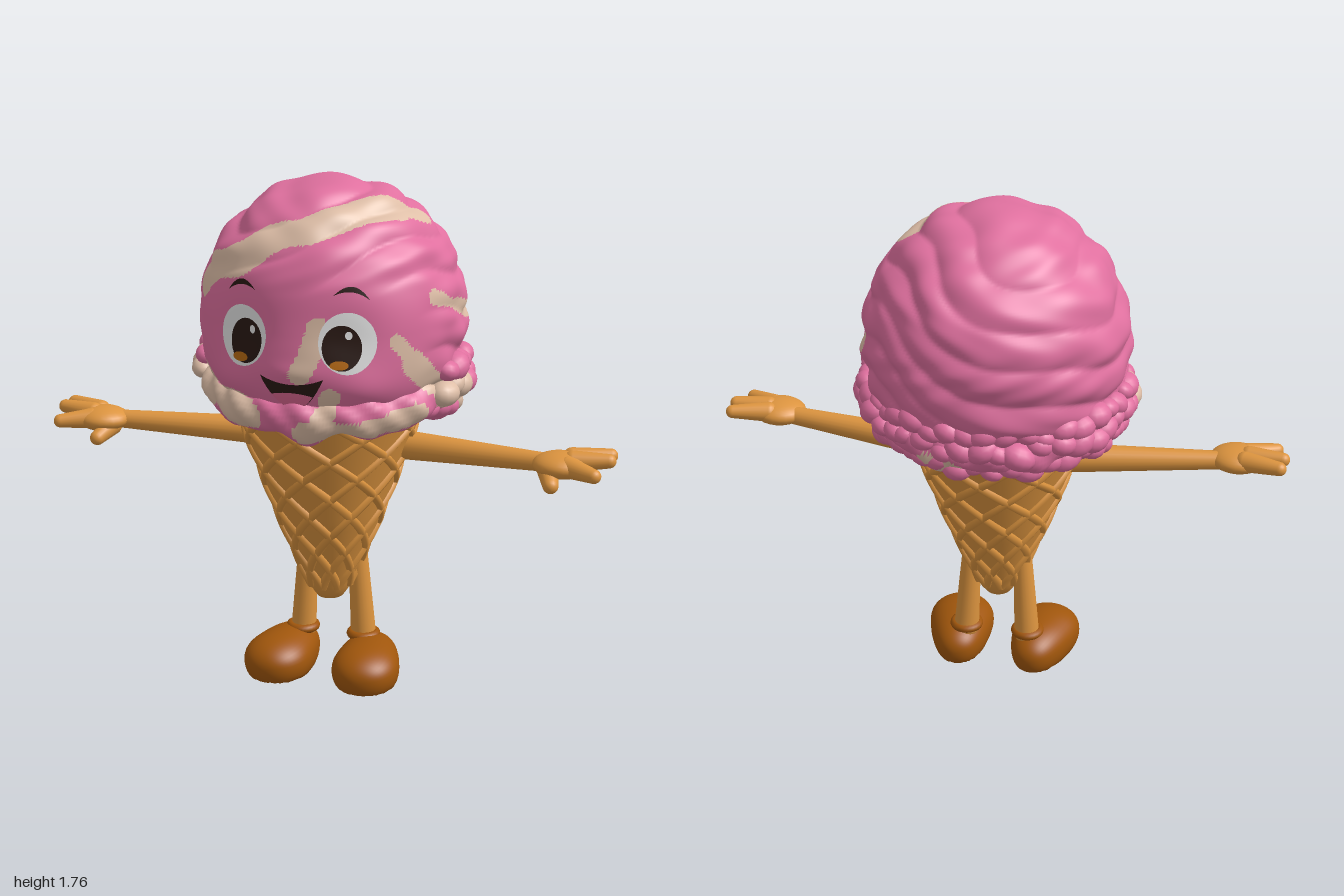
import * as THREE from 'three';
import { mergeVertices } from 'three/addons/utils/BufferGeometryUtils.js';

const { sin, cos, abs, max, min, PI } = Math;
const V = (x, y, z) => new THREE.Vector3(x, y, z);
const smooth = (x, a, b) => THREE.MathUtils.smoothstep(x, a, b);

function material(name, color) {
  const m = new THREE.MeshStandardMaterial({ color });
  m.name = name;
  return m;
}

// Smooth surface from a rule (u, v) -> point, outward where u runs right and v up
function surface(nu, nv, rule) {
  const g = new THREE.PlaneGeometry(1, 1, nu, nv);
  const p = g.attributes.position;
  for (let i = 0; i < p.count; i++) {
    const q = rule(p.getX(i) + 0.5, p.getY(i) + 0.5);
    p.setXYZ(i, q.x, q.y, q.z);
  }
  g.deleteAttribute('uv');
  g.deleteAttribute('normal');
  const m = mergeVertices(g, 1e-5);
  m.computeVertexNormals();
  return m;
}

// Cream swirls: half width, then the points of the stripe
const swirls = [
  [0.06, [-0.37, 1.44, 0.22], [-0.2, 1.545, 0.33], [0, 1.63, 0.3], [0.12, 1.68, 0.21], [0.22, 1.67, 0.09]],
  [0.045, [0.22, 1.67, 0.09], [0.29, 1.645, -0.02]],
  [0.033, [0.39, 1.41, 0.16], [0.43, 1.35, 0], [0.41, 1.3, -0.16]],
  [0.028, [0.31, 1.29, 0.3], [0.35, 1.22, 0.25]],
  [0.045, [0.35, 1.21, 0.25], [0.39, 1.13, 0.17], [0.43, 1.08, 0.06]],
  [0.033, [0.085, 1.34, 0.4], [0.06, 1.24, 0.43], [0.03, 1.19, 0.44]],
  [0.038, [0.13, 1.11, 0.41], [0.1, 1.03, 0.42]],
  [0.055, [-0.45, 1.1, 0.1], [-0.33, 1.06, 0.3], [-0.16, 1.02, 0.41]],
  [0.046, [0.05, 0.98, 0.43], [0.2, 0.99, 0.38], [0.36, 1.03, 0.24]],
  [0.045, [0.43, 1.06, 0.12], [0.45, 1.05, 0]],
  [0.036, [0.43, 1.0, -0.06], [0.38, 0.99, -0.26]],
  [0.04, [0.16, 1, -0.4], [0.04, 0.98, -0.42]],
].map(([w, ...pts]) => ({
  w,
  lines: pts.slice(1).map((p, i) => new THREE.Line3(V(...pts[i]), V(...p))),
}));
const near = V();
const isCream = (p) => swirls.some(({ w, lines }) => lines.some((l) =>
  l.closestPointToPoint(p, true, near).distanceTo(p) < w * (1 + 0.18 * sin(23 * p.x + 17 * p.z))));

// Sort triangles into a pink group and a cream group
function paint(g) {
  const idx = g.index.array, p = g.attributes.position, sets = [[], []], c = V(), t = V();
  for (let i = 0; i < idx.length; i += 3) {
    c.set(0, 0, 0);
    for (let k = 0; k < 3; k++) c.add(t.fromBufferAttribute(p, idx[i + k]));
    sets[isCream(c.divideScalar(3)) ? 1 : 0].push(idx[i], idx[i + 1], idx[i + 2]);
  }
  g.setIndex(sets.flat());
  g.addGroup(0, sets[0].length, 0);
  g.addGroup(sets[0].length, sets[1].length, 1);
  return g;
}

// Scoop: round above, fuller below, folded except on the smooth face
const CY = 1.312, R = 0.44, LOW = 0.37;
function radiusAt(y) {
  const s = y > CY ? (y - CY) / R : (CY - y) / LOW;
  const n = y > CY ? 2 : 3;
  return R * max(0, 1 - s ** n) ** (1 / n);
}
function scoopPoint(th, y, off = 0) {
  const r = radiusAt(y), b = V(r * sin(th), y - CY, r * cos(th));
  const { x, z } = b, d = b.y;
  const rough = 1 - smooth(z, 0.08, 0.26) * (1 - smooth(d, 0.12, 0.24));
  const fold = abs(sin(24 * (d - 0.35 * x + 0.035 * sin(9 * x + 2) + 0.03 * sin(13 * z + 6 * x)))) - 0.55;
  const fine = sin(31 * x + 3 * sin(17 * d)) * sin(35 * d + 2 * z) + sin(38 * z + 9 * x) * sin(29 * d);
  const bulge = (a, cy, w, h) => Math.exp(-(((x - a) / w) ** 2) - ((d + CY - cy) / h) ** 2) * (z > 0 ? 1 : 0);
  // cheeks and lip stand out, eye sockets and brow sink in
  let face = 0.008 * bulge(0, 1.19, 0.08, 0.03) - 0.018 * bulge(0, 1.36, 0.22, 0.12);
  for (const s of [-1, 1]) face += 0.014 * bulge(s * 0.22, 1.14, 0.08, 0.06) - 0.018 * bulge(s * 0.18, 1.31, 0.1, 0.1);
  const k = 1 + (rough * (0.016 * fold + 0.004 * fine) + face + off) / R;
  b.multiplyScalar(k);
  return V(b.x * 1.015, b.y + CY, b.z);
}
const onFace = (x, y, off) => scoopPoint(Math.asin(x / radiusAt(y)), y, off);

// Cone profile: radius, height
const profile = [[0, 0.26], [0.04, 0.27], [0.068, 0.31], [0.105, 0.4], [0.145, 0.5], [0.185, 0.6], [0.255, 0.8], [0.29, 0.9], [0.325, 1]];
function conePoint(th, y, off = 0) {
  const i = max(1, profile.findIndex((p) => p[1] >= y - 1e-9));
  const [a, b] = [profile[i - 1], profile[i]];
  const r = a[0] + (b[0] - a[0]) * (y - a[1]) / (b[1] - a[1]) + off;
  return V(r * sin(th), y, 0.03 + 1.1 * r * cos(th));
}

// Tapered limb with round ends
function limb(a, b, r1, r2) {
  const len = a.distanceTo(b), pts = [];
  for (let i = 0; i <= 6; i++) pts.push(new THREE.Vector2(r1 * sin(i * PI / 12), -r1 * cos(i * PI / 12)));
  for (let i = 0; i <= 6; i++) pts.push(new THREE.Vector2(r2 * cos(i * PI / 12), len + r2 * sin(i * PI / 12)));
  const g = new THREE.LatheGeometry(pts, 20);
  g.applyQuaternion(new THREE.Quaternion().setFromUnitVectors(V(0, 1, 0), b.clone().sub(a).normalize()));
  return g.translate(a.x, a.y, a.z);
}

export function createModel() {
  const model = new THREE.Group();
  const pink = material('strawberry pink', 0xe0709f), cream = material('cream', 0xdfbfa8);
  const waffle = material('waffle', 0xdc943f), brown = material('shoe brown', 0xa0560c);
  const white = material('eye white', 0xf4f4f4), dark = material('dark brown', 0x2a1914);
  const amber = material('amber', 0xb86a12), rose = material('tongue pink', 0xe06a94);
  const add = (name, g, m, parent = model) => {
    const mesh = new THREE.Mesh(g, m);
    mesh.name = name;
    parent.add(mesh);
    return mesh;
  };

  // Scoop
  add('scoop', paint(surface(220, 150, (u, v) => {
    const s = -cos(PI * v);
    return scoopPoint((u - 0.5) * 2 * PI, CY + s * (s > 0 ? R : LOW));
  })), [pink, cream]);

  // Dripping rim, lifted at the sides
  const lift = (th) => 0.025 * sin(th) ** 2;
  add('rim', paint(surface(230, 26, (u, v) => {
    const th = (u - 0.5) * 2 * PI, a = 2 * PI * v, back = (1 - cos(th)) / 2;
    const drip = 0.5 + 0.3 * sin(9 * th + 1) + 0.2 * sin(14 * th);
    const lump = 0.012 * sin(17 * th + 2 * sin(a)) * sin(2 * a + 5 * th);
    const r = 0.355 + (0.08 + lump) * cos(a);
    const y = 1.03 + 0.02 * back + lift(th) + (sin(a) > 0 ? 0.07 + lump : 0.055 + 0.05 * drip) * sin(a);
    return V(1.03 * r * sin(th), y, 0.98 * r * cos(th));
  })), [pink, cream]);

  // Lumps squeezed out along the sides and back
  let seed = 7;
  const rand = () => (seed = (seed * 16807) % 2147483647) / 2147483647;
  const lumps = new THREE.Group();
  lumps.name = 'rimLumps';
  model.add(lumps);
  for (let i = 0; i < 78; i++) {
    const th = 1.2 + (i + rand()) / 78 * (2 * PI - 2.4);
    const h = [0.99, 1.06, 1.12][i % 3] + lift(th) + 0.035 * (rand() - 0.5);
    const r = [0.375, 0.41, 0.405][i % 3] + 0.014 * rand();
    const c = V(1.06 * r * sin(th), h, 0.96 * r * cos(th));
    const ball = add('lump', new THREE.SphereGeometry(0.034 + 0.018 * rand(), 14, 10), isCream(c) ? cream : pink, lumps);
    ball.position.copy(c);
    ball.rotation.set(0, th, rand() - 0.5);
    ball.scale.set(1.2, 0.9, 1);
  }

  // Cone with crossing waffle ridges
  add('cone', surface(64, 40, (u, v) => conePoint((u - 0.5) * 2 * PI, 0.26 + 0.74 * v)), waffle);
  const ridges = new THREE.Group();
  ridges.name = 'waffleRidges';
  model.add(ridges);
  for (let i = 0; i < 9; i++) {
    for (const dir of [-1, 1]) {
      const pts = [];
      for (let k = 0; k <= 14; k++) {
        const y = 0.33 + k * 0.0475;
        pts.push(conePoint(i * PI / 4.5 + dir * 4.6 * (y - 0.33), y, -0.003));
      }
      add('ridge', new THREE.TubeGeometry(new THREE.CatmullRomCurve3(pts), 42, 0.0165, 6), waffle, ridges);
    }
  }

  // Face details laid on the scoop
  const disc = (name, m, cx, cy, rx, ry, off, dome = 0) => add(name, surface(36, 8, (u, v) => {
    const a = 2 * PI * u, t = 1 - v;
    return onFace(cx + t * rx * cos(a), cy + t * ry * sin(a), off + dome * (1 - t * t));
  }), m);
  const band = (name, m, cx, w, bottom, top, off) => add(name, surface(20, 6, (u, v) => {
    const s = u * 2 - 1;
    return onFace(cx + w * s, bottom(s) + (top(s) - bottom(s)) * v, off);
  }), m);
  for (const s of [-1, 1]) {
    disc('eyeWhite', white, s * 0.177, 1.295, 0.087, 0.101, 0.004, 0.004);
    disc('iris', dark, s * 0.162, 1.281, 0.06, 0.073, 0.0105);
    disc('irisGlow', amber, s * 0.166 - 0.012, 1.226, 0.028, 0.014, 0.0125);
    disc('eyeGlint', white, s * 0.162 + 0.022, 1.32, 0.011, 0.014, 0.0125);
    band('eyebrow', dark, s * 0.184, 0.053,
      (t) => 1.458 - 0.018 * t * t - 0.008 * t * s, (t) => 1.474 - 0.034 * t * t - 0.008 * t * s, 0.005);
  }
  band('mouth', dark, 0, 0.105, (t) => 1.066 + 0.112 * t * t, (t) => 1.156 + 0.022 * t * t, 0.004);
  band('tongue', rose, 0, 0.068, (t) => 1.068 + 0.05 * t * t, (t) => 1.128 - 0.01 * t * t, 0.007);

  // Arms, hands, legs and shoes, mirrored
  for (const s of [-1, 1]) {
    const P = (x, y, z) => V(s * x, y, z);
    const arm = new THREE.Group(), leg = new THREE.Group();
    arm.name = s > 0 ? 'leftArm' : 'rightArm';
    leg.name = s > 0 ? 'leftLeg' : 'rightLeg';
    model.add(arm, leg);

    add('arm', limb(P(0.22, 0.85, 0.01), P(0.76, 0.864, 0.085), 0.052, 0.032), waffle, arm);
    const palm = add('palm', new THREE.SphereGeometry(1, 24, 16), waffle, arm);
    palm.scale.set(0.095, 0.043, 0.085);
    palm.position.copy(P(0.82, 0.868, 0.105));
    [[0.85, 0.88, 0.062, 0.968, 0.888, 0.022], [0.86, 0.882, 0.1, 0.974, 0.89, 0.086],
      [0.85, 0.872, 0.138, 0.945, 0.868, 0.19]].forEach(([a, b, c, d, e, f]) =>
      add('finger', limb(P(a, b, c), P(d, e, f), 0.036, 0.024), waffle, arm));
    add('thumb', limb(P(0.78, 0.85, 0.12), P(0.805, 0.82, 0.19), 0.036, 0.026), waffle, arm);

    add('leg', limb(P(0.09, 0.48, 0.005), P(0.112, 0.12, -0.005), 0.032, 0.045), waffle, leg);
    const shoe = add('shoe', surface(40, 32, (u, v) => {
      const a = 2 * PI * u, t = -cos(PI * v), e = max(0, 1 - abs(t) ** 2.6) ** 0.45;
      const w = (0.096 + 0.027 * smooth(t, -0.8, 0.6)) * e;
      const y = sin(a) > 0 ? 0.05 + 0.09 * e * sin(a) ** 0.85 : 0.05 - min(0.05, 0.11 * e * -sin(a));
      return V(w * cos(a), y, 0.08 + 0.175 * t);
    }), brown, leg);
    shoe.position.x = s * 0.143;
    shoe.rotation.y = s * 0.14;
    const collar = add('shoeCollar', new THREE.TorusGeometry(0.044, 0.016, 10, 28), brown, leg);
    collar.rotation.x = PI / 2;
    collar.position.copy(P(0.113, 0.13, 0));
  }
  return model;
}
